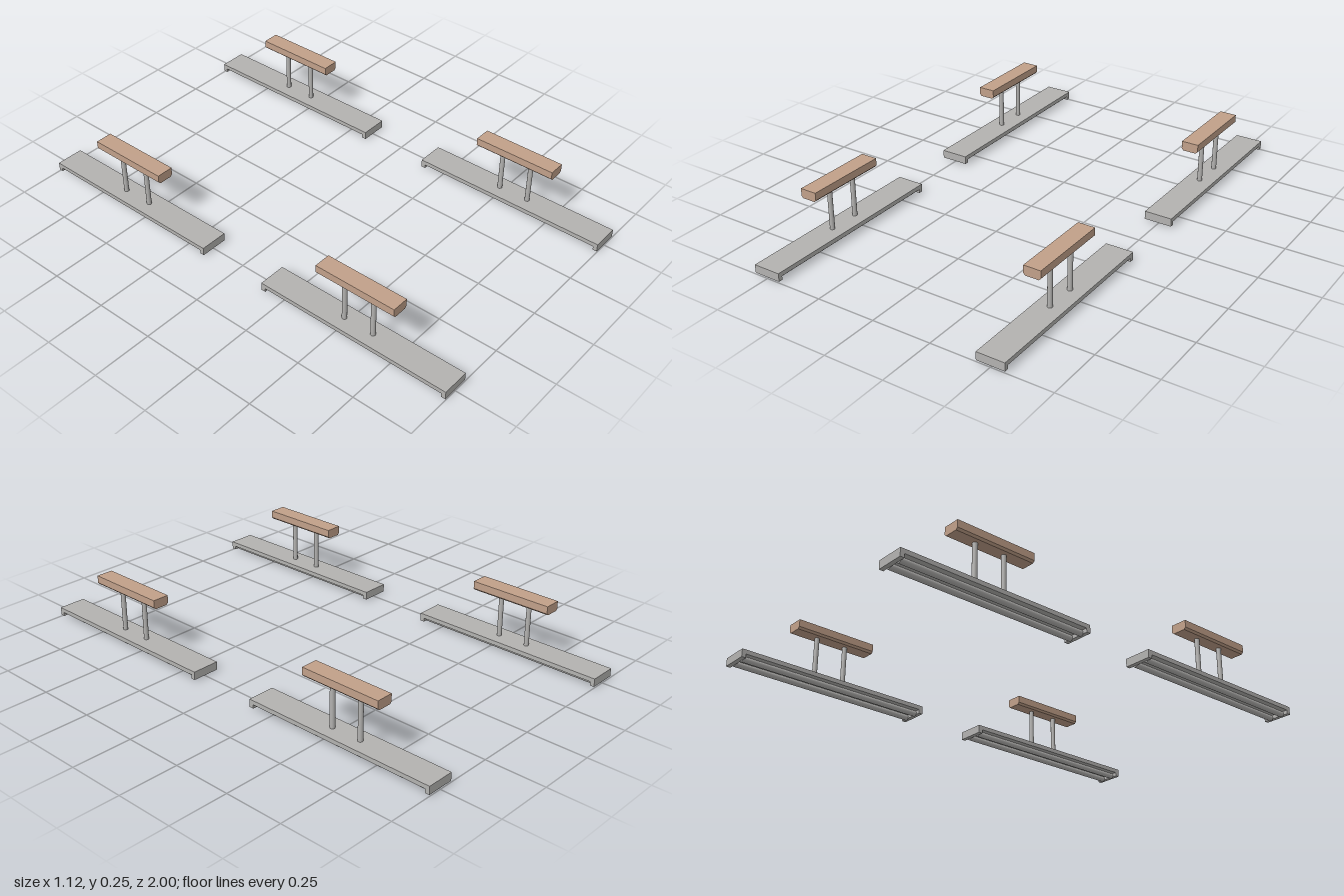
import * as THREE from 'three';

const metal = new THREE.MeshStandardMaterial({ color: 0xb3b2b0 });
metal.name = 'grey metal';
const wood = new THREE.MeshStandardMaterial({ color: 0xc1a089 });
wood.name = 'brown mount';

function add(group, name, geometry, material, x, y, z) {
  const mesh = new THREE.Mesh(geometry, material);
  mesh.name = name;
  mesh.position.set(x, y, z);
  group.add(mesh);
}

// Ceiling beam: a bar with its lower long edges chamfered, extruded along z
function beamGeometry(width, height, length, cut) {
  const w = width / 2;
  const shape = new THREE.Shape([
    [-w + cut, 0], [w - cut, 0], [w, cut], [w, height], [-w, height], [-w, cut],
  ].map(([x, y]) => new THREE.Vector2(x, y)));
  return new THREE.ExtrudeGeometry(shape, { depth: length, bevelEnabled: false })
    .translate(0, 0, -length / 2);
}

function createLamp() {
  const lamp = new THREE.Group();
  lamp.name = 'hangingLamp';

  // Housing plate with a downturned cap at each end
  add(lamp, 'housing', new THREE.BoxGeometry(0.117, 0.018, 0.848), metal, 0, 0.031, 0);
  const cap = new THREE.BoxGeometry(0.117, 0.016, 0.018);
  for (const s of [-1, 1]) add(lamp, 'endCap', cap, metal, 0, 0.014, s * 0.415);

  // Two light tubes between the caps
  const tube = new THREE.CylinderGeometry(0.012, 0.012, 0.814, 20).rotateX(Math.PI / 2);
  for (const s of [-1, 1]) add(lamp, 'lightTube', tube, metal, s * 0.028, 0.012, 0);

  // Round hanger rods up to the beam
  const rod = new THREE.CylinderGeometry(0.01, 0.01, 0.179, 16);
  for (const s of [-1, 1]) add(lamp, 'hangerRod', rod, metal, 0, 0.1275, s * 0.066 - 0.004);

  add(lamp, 'beam', beamGeometry(0.071, 0.039, 0.352, 0.008), wood, 0, 0.216, 0);
  return lamp;
}

export function createModel() {
  const model = new THREE.Group();
  model.name = 'hangingLamps';
  // Four lamps in two rows
  for (const x of [-0.5, 0.5]) {
    for (const z of [-0.576, 0.576]) {
      const lamp = createLamp();
      lamp.position.set(x, 0, z);
      model.add(lamp);
    }
  }
  return model;
}
